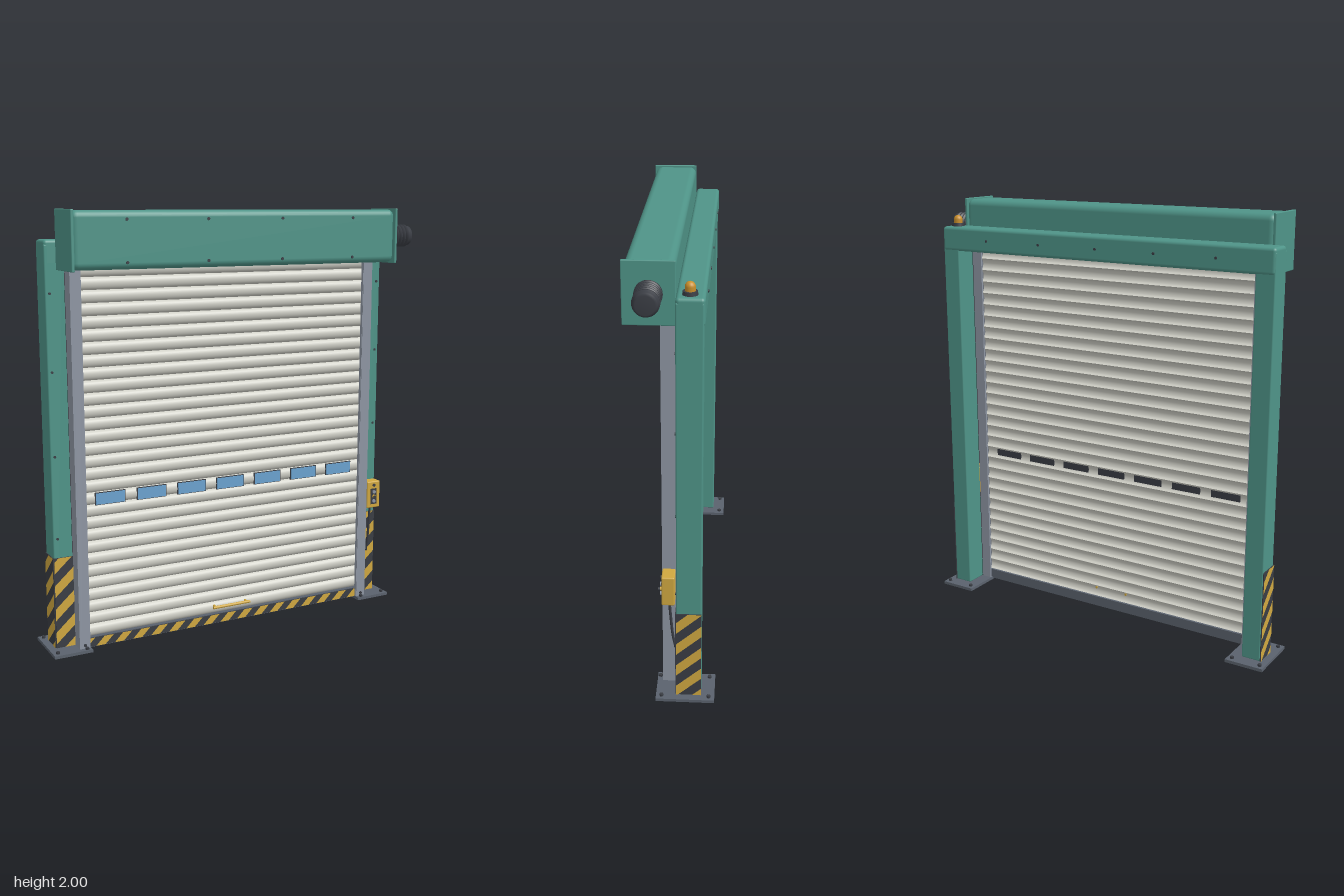
import * as THREE from 'three';
import { mergeGeometries } from 'three/addons/utils/BufferGeometryUtils.js';
import { RoundedBoxGeometry } from 'three/addons/geometries/RoundedBoxGeometry.js';

const mat = (name, color, side = THREE.FrontSide) => {
  const m = new THREE.MeshStandardMaterial({ color, side });
  m.name = name;
  return m;
};

export function createModel() {
  const root = new THREE.Group();
  root.name = 'rollerDoor';
  const teal = mat('teal paint', 0x4f9488);
  const slatGrey = mat('slat grey', 0xcfcfc6, THREE.DoubleSide);
  const steel = mat('guide steel', 0x8e96a3);
  const plateGrey = mat('plate grey', 0x5a626d);
  const dark = mat('dark grey', 0x3a3d44);
  const yellow = mat('safety yellow', 0xd0a840);
  const blue = mat('window blue', 0x6ba3d0);
  const amber = mat('beacon amber', 0xc98f2c);

  const add = (name, geo, material, x = 0, y = 0, z = 0, parent = root) => {
    const m = new THREE.Mesh(geo, material);
    m.name = name;
    m.position.set(x, y, z);
    parent.add(m);
    return m;
  };
  // Box given by its minimum and maximum on each axis, optionally rounded
  const box = (name, material, x0, x1, y0, y1, z0, z1, r = 0) => {
    const s = [x1 - x0, y1 - y0, z1 - z0];
    const geo = r ? new RoundedBoxGeometry(...s, 3, r) : new THREE.BoxGeometry(...s);
    return add(name, geo, material, (x0 + x1) / 2, (y0 + y1) / 2, (z0 + z1) / 2);
  };
  // Short cylinder along z
  const stud = (name, material, x, y, z, r, len) =>
    add(name, new THREE.CylinderGeometry(r, r, len, 12).rotateX(Math.PI / 2), material, x, y, z);

  // Keep the part of a polygon where f(point) >= 0
  const clip = (pts, f) => pts.flatMap((p, i) => {
    const q = pts[(i + 1) % pts.length], a = f(p), b = f(q);
    const out = a >= 0 ? [p] : [];
    if (a * b < 0) out.push(p.clone().lerp(q, a / (a - b)));
    return out;
  });
  // Dark plate with diagonal yellow bands, lying in xy and facing +z
  const hazardPanel = (name, w, h, period, slope, phase) => {
    const g = new THREE.Group();
    g.name = name;
    add(name + 'Back', new THREE.BoxGeometry(w, h, 0.004), dark, 0, 0, 0.002, g);
    const rect = [[-w, -h], [w, -h], [w, h], [-w, h]].map(([x, y]) => new THREE.Vector2(x / 2, y / 2));
    const reach = h + w * slope;
    const bands = [];
    for (let c = -reach + phase; c < reach; c += period) {
      const v = (p) => p.y - p.x * slope;
      const poly = clip(clip(rect, (p) => v(p) - c), (p) => c + period / 2 - v(p));
      if (poly.length > 2) bands.push(new THREE.ShapeGeometry(new THREE.Shape(poly)));
    }
    add(name + 'Bands', mergeGeometries(bands), yellow, 0, 0, 0.0055, g);
    root.add(g);
    return g;
  };

  // Frame: posts, guides and base plates, mirrored about the door's centre line
  const cx = -0.0275;
  for (const s of [-1, 1]) {
    const side = s < 0 ? 'right' : 'left';
    const span = (name, m, a, b, y0, y1, z0, z1, r) => {
      const xs = [cx + s * a, cx + s * b].sort((p, q) => p - q);
      return box(side + name, m, xs[0], xs[1], y0, y1, z0, z1, r);
    };
    span('Post', teal, 0.7825, 0.8725, 0.015, 1.85, -0.13, -0.02, 0.006);
    span('BasePlate', plateGrey, 0.7275, 0.91, 0, 0.014, -0.19, 0.07);
    // C-shaped guide channel
    span('GuideWeb', steel, 0.772, 0.7825, 0.014, 1.76, -0.02, 0.045);
    span('GuideFrontFlange', steel, 0.7325, 0.772, 0.014, 1.76, 0.036, 0.045);
    span('GuideBackFlange', steel, 0.7325, 0.772, 0.014, 1.76, -0.02, -0.011);
    span('GuideLip', steel, 0.7305, 0.7345, 0.014, 1.76, 0.028, 0.043);
    stud(side + 'GuideBolt', dark, cx + s * 0.757, 0.03, 0.047, 0.007, 0.008);
    for (const [a, z] of [[0.888, -0.165], [0.752, -0.165], [0.888, 0.045], [0.752, 0.058]])
      add(side + 'AnchorBolt', new THREE.CylinderGeometry(0.009, 0.009, 0.012, 6), dark, cx + s * a, 0.018, z);
    for (const y of [0.535, 0.915, 1.295, 1.64])
      stud(side + 'PostScrew', dark, cx + s * 0.852, y, -0.019, 0.006, 0.006);

    // Hazard stripes on the front and outer faces
    const f = hazardPanel(side + 'PostFrontStripes', 0.09, 0.43, 0.112, 0.9, 0.02);
    f.position.set(cx + s * 0.8275, 0.23, -0.02);
    const o = hazardPanel(side + 'PostSideStripes', 0.11, 0.43, 0.112, 0.9, 0.02);
    o.position.set(cx + s * 0.8725, 0.23, -0.075);
    o.rotation.y = s * Math.PI / 2;
  }

  // Header beam
  box('header', teal, -0.9, 0.845, 1.755, 1.87, -0.135, -0.02, 0.015);
  for (const x of [-0.63, -0.33, -0.03, 0.28, 0.58])
    stud('headerScrew', dark, x, 1.812, -0.136, 0.006, 0.006);

  // Hood over the roll, with end plates
  box('hood', teal, -0.842, 0.788, 1.745, 1.995, -0.018, 0.18, 0.03);
  box('hoodRightEnd', teal, -0.848, -0.834, 1.74, 2, -0.02, 0.19, 0.004);
  box('hoodLeftEnd', teal, 0.781, 0.795, 1.74, 2, -0.02, 0.19, 0.004);
  for (const x of [-0.595, -0.21, 0.165, 0.545])
    for (const y of [1.775, 1.957]) stud('hoodScrew', dark, x, y, 0.179, 0.007, 0.008);

  // Curtain: each slat is a sheet bowed towards the front
  const pitch = 0.057, y0 = 0.055, slats = [];
  for (let i = 0; i < 30; i++) {
    const g = new THREE.PlaneGeometry(1.5, pitch, 1, 10);
    const p = g.attributes.position;
    for (let j = 0; j < p.count; j++) {
      const t = p.getY(j) / pitch + 0.5;
      p.setZ(j, 0.004 + 0.018 * Math.sqrt(Math.max(0, Math.sin(Math.PI * t))));
    }
    g.computeVertexNormals();
    g.translate(-0.025, y0 + pitch * (i + 0.5), 0);
    slats.push(g);
  }
  add('curtain', mergeGeometries(slats), slatGrey);

  // Window row on one slat
  for (let i = 0; i < 7; i++) {
    const x = -0.637 + i * 0.2045;
    box('windowSeal', dark, x - 0.074, x + 0.074, 0.681, 0.739, 0.018, 0.024);
    box('window', blue, x - 0.07, x + 0.07, 0.684, 0.736, 0.02, 0.027);
  }

  // Striped bottom bar and lifting handle
  box('bottomBar', plateGrey, -0.765, 0.715, 0.008, 0.056, -0.006, 0.026);
  hazardPanel('bottomBarStripes', 1.46, 0.042, 0.092, 1, 0.02).position.set(-0.025, 0.032, 0.026);
  const bar = new THREE.CylinderGeometry(0.007, 0.007, 0.2, 12).rotateZ(Math.PI / 2);
  add('handle', bar, yellow, -0.025, 0.095, 0.044);
  for (const x of [-0.11, 0.06]) stud('handleMount', yellow, x, 0.095, 0.03, 0.006, 0.03);

  // Motor with cooling ribs, turned about x
  const profile = [[0, 0], [0.056, 0], [0.056, 0.014]];
  for (let i = 0; i < 5; i++) {
    const a = 0.02 + i * 0.02;
    profile.push([0.042, a - 0.004], [0.042, a], [0.054, a + 0.002], [0.054, a + 0.012]);
  }
  profile.push([0.047, 0.118], [0.047, 0.133], [0.038, 0.138], [0, 0.138]);
  const motorGeo = new THREE.LatheGeometry(profile.map(([r, a]) => new THREE.Vector2(r, a)), 28);
  add('motor', motorGeo.rotateZ(-Math.PI / 2), dark, 0.793, 1.868, 0.085);

  // Warning beacon
  add('beaconBase', new THREE.CylinderGeometry(0.029, 0.031, 0.016, 24), dark, 0.795, 1.877, -0.075);
  add('beaconLens', new THREE.CapsuleGeometry(0.021, 0.025, 6, 20), amber, 0.795, 1.889, -0.075);

  // Control box with buttons and cable
  box('controlBox', yellow, 0.76, 0.838, 0.48, 0.62, -0.014, 0.043, 0.006);
  box('controlPanel', dark, 0.781, 0.817, 0.5, 0.582, 0.042, 0.0445);
  for (const y of [0.517, 0.541, 0.565])
    stud('button', y === 0.541 ? yellow : steel, 0.799, y, 0.047, 0.009, 0.008);
  stud('stopKnob', dark, 0.799, 0.539, 0.053, 0.007, 0.014);
  stud('keySwitch', dark, 0.799, 0.6, 0.045, 0.008, 0.008);
  const path = new THREE.CatmullRomCurve3([[0.48, 0.012], [0.4, 0.006], [0.3, -0.003], [0.235, -0.015]]
    .map(([y, z]) => new THREE.Vector3(0.799, y, z)));
  add('cable', new THREE.TubeGeometry(path, 16, 0.006, 8), dark);

  return root;
}
